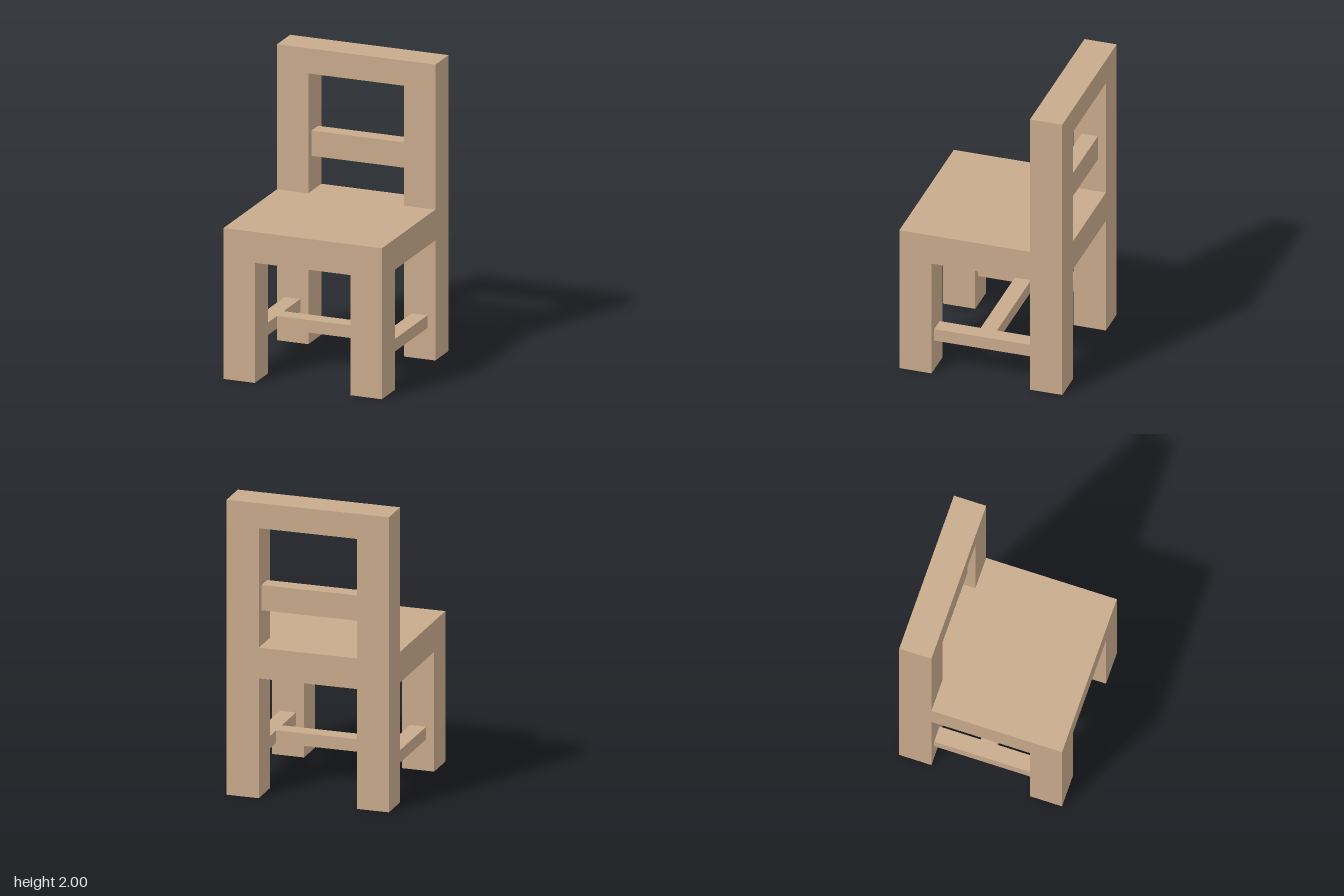
import * as THREE from 'three';

const OUT = 0.553;              // outer half-width and half-depth
const IN = 0.334;               // inner edge of the legs
const LEG = OUT - IN;           // leg thickness
const MID = (OUT + IN) / 2;     // leg centre line
const BAR = 0.11;               // thickness of stretchers and back slat
const SEAT_BOTTOM = 0.812, SEAT_TOP = 1.02;

export function createModel() {
  const chair = new THREE.Group();
  chair.name = 'chair';
  const wood = new THREE.MeshStandardMaterial({ color: 0xc8aa8c });
  wood.name = 'light wood';

  const add = (name, geometry, x, y, z) => {
    const mesh = new THREE.Mesh(geometry, wood);
    mesh.name = name;
    mesh.position.set(x, y, z);
    chair.add(mesh);
  };
  // box given by its width, depth, bottom and top
  const box = (name, w, d, y0, y1, x, z) =>
    add(name, new THREE.BoxGeometry(w, y1 - y0, d), x, (y0 + y1) / 2, z);

  // back legs, seat rail, posts and top rail as one flat frame
  const frame = new THREE.Shape([
    [-OUT, 0], [-IN, 0], [-IN, SEAT_BOTTOM], [IN, SEAT_BOTTOM],
    [IN, 0], [OUT, 0], [OUT, 2], [-OUT, 2],
  ].map(([x, y]) => new THREE.Vector2(x, y)));
  frame.holes.push(new THREE.Path([
    [-IN, SEAT_TOP], [-IN, 1.83], [IN, 1.83], [IN, SEAT_TOP],
  ].map(([x, y]) => new THREE.Vector2(x, y))));
  add('backFrame', new THREE.ExtrudeGeometry(frame, { depth: LEG, bevelEnabled: false }), 0, 0, -OUT);

  // slat across the back opening
  box('backSlat', 2 * IN, BAR, 1.257, 1.428, 0, -MID);

  // seat slab in front of the back frame
  box('seat', 2 * OUT, OUT + IN, SEAT_BOTTOM, SEAT_TOP, 0, (OUT - IN) / 2);

  // front legs and side stretchers
  for (const [side, s] of [['left', 1], ['right', -1]]) {
    box(side + 'FrontLeg', LEG, LEG, 0, SEAT_BOTTOM, s * MID, MID);
    box(side + 'Stretcher', BAR, 2 * IN, 0.214, 0.299, s * MID, 0);
  }

  // cross stretcher joining the two side stretchers
  box('crossStretcher', 2 * MID - BAR, BAR, 0.214, 0.299, 0, 0);

  return chair;
}
